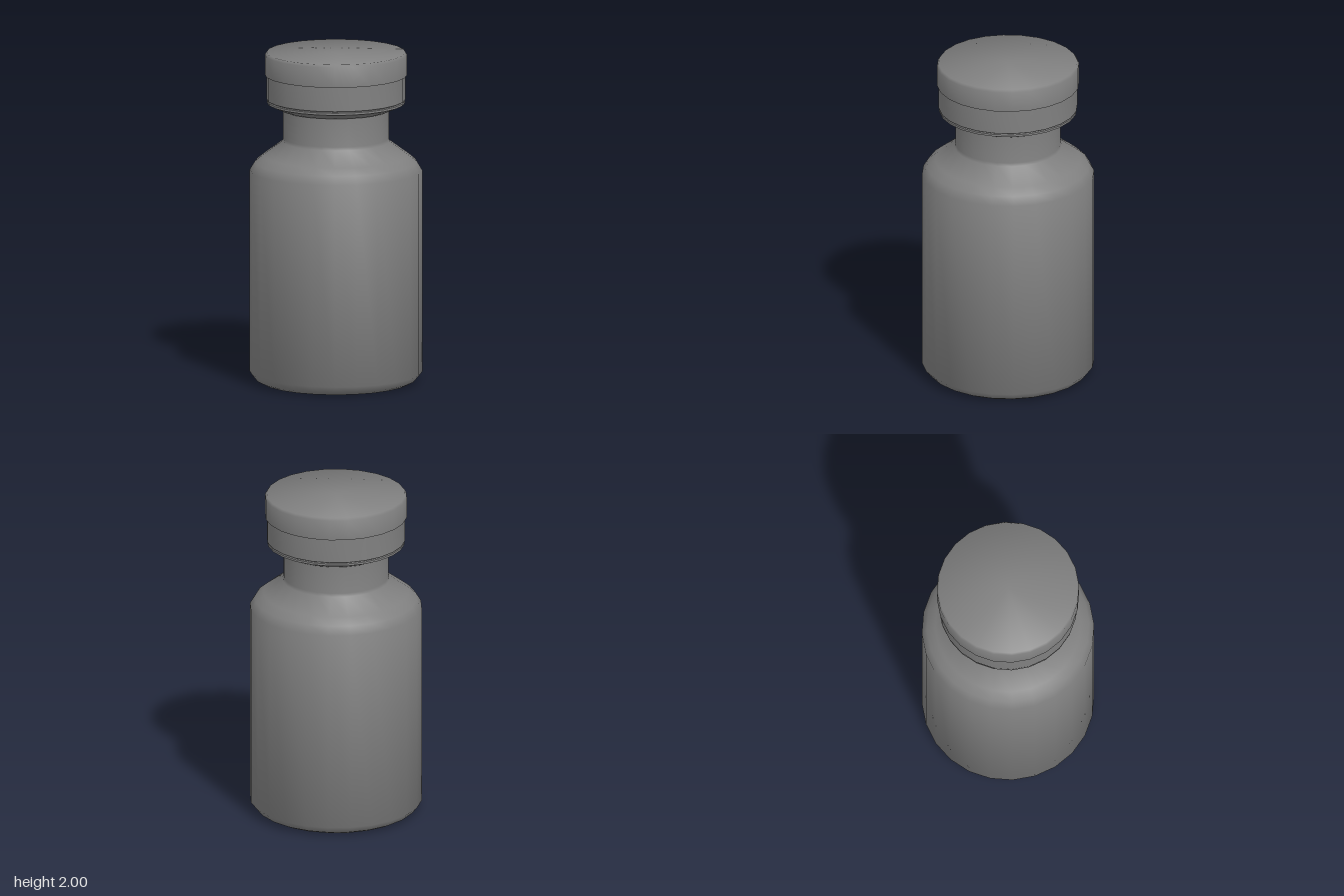
import * as THREE from 'three';
import { toCreasedNormals } from 'three/addons/utils/BufferGeometryUtils.js';

const SIDES = 24;

// Revolves [radius, height] pairs, listed from bottom to top
function turned(name, profile, material, crease) {
  const points = profile.map(([r, y]) => new THREE.Vector2(r, y));
  const geometry = toCreasedNormals(new THREE.LatheGeometry(points, SIDES), crease);
  const mesh = new THREE.Mesh(geometry, material);
  mesh.name = name;
  return mesh;
}

export function createModel() {
  const grey = new THREE.MeshStandardMaterial({ color: 0x808080 });
  grey.name = 'grey plastic';

  const model = new THREE.Group();
  model.name = 'pillBottle';

  // Body with rounded foot, sloping shoulder and narrow neck
  model.add(turned('bottleBody', [
    [0, 0], [0.445, 0], [0.48, 0.018], [0.515, 0.06],
    [0.515, 1.285], [0.485, 1.335], [0.435, 1.375], [0.32, 1.46],
    [0.315, 1.48], [0.315, 1.68],
  ], grey, 0.75));

  // Lower cap band with a chamfered underside and a fine groove
  model.add(turned('capBand', [
    [0.31, 1.655], [0.33, 1.655], [0.405, 1.69], [0.412, 1.692],
    [0.412, 1.705], [0.406, 1.71], [0.415, 1.715], [0.415, 1.862],
  ], grey, 0.5));

  // Flip lid, slightly wider than the band, with a softened rim
  model.add(turned('capLid', [
    [0.40, 1.862], [0.425, 1.862], [0.425, 1.985], [0.415, 2], [0, 2],
  ], grey, 1.05));

  return model;
}
